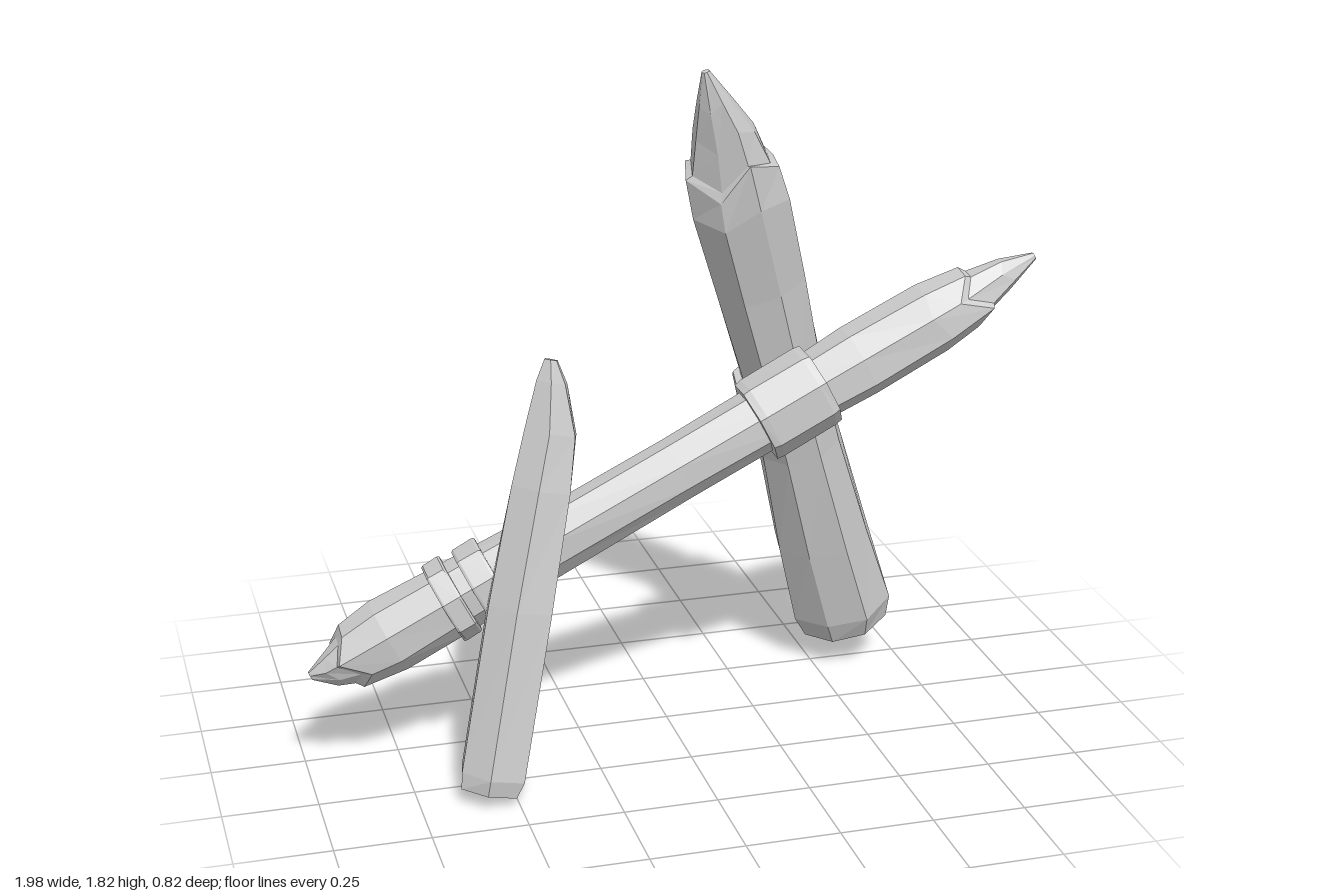
import * as THREE from 'three';

const material = new THREE.MeshStandardMaterial({ color: 0xcccccc, flatShading: true });

// Faceted log: each ring is [x, y, z, radius, jag]; all rings lie square to the axis.
// jag slides alternate corners along the axis for splintered ends.
function makeLog(name, rings, axis, sides, phase = 0.5, rough = 0.05) {
  const d = axis.clone().normalize();
  const u = new THREE.Vector3(0, 0, 1).addScaledVector(d, -d.z).normalize();
  const v = new THREE.Vector3().crossVectors(d, u);
  const loops = rings.map(([x, y, z, r, jag = 0], i) => {
    const loop = [];
    for (let k = 0; k < sides; k++) {
      const a = ((k + phase) / sides) * Math.PI * 2;
      const rr = r * (1 + rough * Math.sin(k * 2.3 + i * 0.9));
      loop.push(new THREE.Vector3(x, y, z)
        .addScaledVector(u, Math.cos(a) * rr)
        .addScaledVector(v, Math.sin(a) * rr)
        .addScaledVector(d, jag * Math.sin(k * 2.4 + 1)));
    }
    return loop;
  });
  const pos = [];
  const tri = (...pts) => pts.forEach((p) => pos.push(p.x, p.y, p.z));
  for (let i = 0; i < loops.length - 1; i++) {
    for (let k = 0; k < sides; k++) {
      const n = (k + 1) % sides;
      const a = loops[i], b = loops[i + 1];
      tri(a[k], a[n], b[n]);
      tri(a[k], b[n], b[k]);
    }
  }
  // End caps
  const first = loops[0], last = loops[loops.length - 1];
  const c0 = new THREE.Vector3(...rings[0].slice(0, 3));
  const c1 = new THREE.Vector3(...rings[rings.length - 1].slice(0, 3));
  for (let k = 0; k < sides; k++) {
    const n = (k + 1) % sides;
    tri(c0, first[n], first[k]);
    tri(c1, last[k], last[n]);
  }
  const geometry = new THREE.BufferGeometry();
  geometry.setAttribute('position', new THREE.Float32BufferAttribute(pos, 3));
  geometry.computeVertexNormals();
  const mesh = new THREE.Mesh(geometry, material);
  mesh.name = name;
  return mesh;
}

// Short bevelled collar around a log
function makeBand(name, center, axis, radius, width, phase = 0.5) {
  const d = axis.clone().normalize();
  const ring = (t, r) => [...center.clone().addScaledVector(d, t * width), r];
  return makeLog(name, [ring(-0.5, radius * 0.97), ring(-0.4, radius), ring(0.4, radius),
    ring(0.5, radius * 0.97)], axis, 8, phase, 0.015);
}

export function createModel() {
  const model = new THREE.Group();

  // Thick leaning post with a broken, splintered top
  const post = new THREE.Group();
  post.name = 'leaningPost';
  const postAxis = new THREE.Vector3(-0.3, 1, 0.17);
  post.add(
    makeLog('postTrunk', [
      [0.608, 0.125, -0.278, 0.125],
      [0.595, 0.19, -0.27, 0.148],
      [0.52, 0.42, -0.23, 0.138],
      [0.43, 0.72, -0.175, 0.12],
      [0.36, 0.95, -0.135, 0.118],
      [0.28, 1.22, -0.09, 0.129],
      [0.205, 1.46, -0.035, 0.135, 0.02],
      [0.178, 1.56, -0.02, 0.127, 0.05],
      [0.174, 1.57, -0.01, 0.108, 0.035],
      [0.15, 1.66, 0.015, 0.083, 0.03],
      [0.115, 1.745, 0.045, 0.047, 0.015],
      [0.083, 1.83, 0.066, 0.01],
    ], postAxis, 8, 0.2, 0.04),
    makeBand('postBand', new THREE.Vector3(0.385, 0.89, -0.148), postAxis, 0.15, 0.11, 0.2),
  );

  // Slanted crossbeam, splintered at both ends
  const beam = new THREE.Group();
  beam.name = 'crossbeam';
  const beamAxis = new THREE.Vector3(1, 0.51, 0);
  const onBeam = (x) => new THREE.Vector3(x, 0.785 + 0.5 * x, 0.103);
  const br = (x, r, jag = 0, dy = 0, dz = 0) => {
    const p = onBeam(x);
    return [p.x, p.y + dy, p.z + dz, r, jag];
  };
  beam.add(
    makeLog('beamShaft', [
      br(-0.988, 0.012, 0, 0.015),
      br(-0.935, 0.047, 0.012),
      br(-0.895, 0.066, 0.025),
      br(-0.88, 0.087, 0.035),
      br(-0.78, 0.102),
      br(-0.62, 0.097),
      br(-0.35, 0.089),
      br(0, 0.086),
      br(0.3, 0.089),
      br(0.5, 0.1),
      br(0.7, 0.097, 0.015),
      br(0.8, 0.082, 0.045),
      br(0.815, 0.066, 0.035),
      br(0.9, 0.043, 0.015, 0.01),
      br(0.985, 0.01, 0, 0.01),
    ], beamAxis, 8, 0.5, 0.04),
    makeBand('beamWideBand', onBeam(0.305), beamAxis, 0.116, 0.2),
    makeBand('beamOuterBand', onBeam(-0.61), beamAxis, 0.114, 0.055),
    makeBand('beamInnerBand', onBeam(-0.525), beamAxis, 0.11, 0.07),
  );

  // Slim stake with a chiselled point
  const stakeAxis = new THREE.Vector3(0.22, 0.93, -0.175);
  const stake = makeLog('stake', [
    [-0.565, 0.032, 0.332, 0.083],
    [-0.555, 0.075, 0.325, 0.094],
    [-0.46, 0.5, 0.245, 0.095],
    [-0.385, 0.8, 0.185, 0.088],
    [-0.35, 0.94, 0.158, 0.076],
    [-0.343, 1.07, 0.148, 0.043],
    [-0.345, 1.13, 0.148, 0.018],
  ], stakeAxis, 6, 0.7, 0.06);

  model.add(post, beam, stake);
  return model;
}
